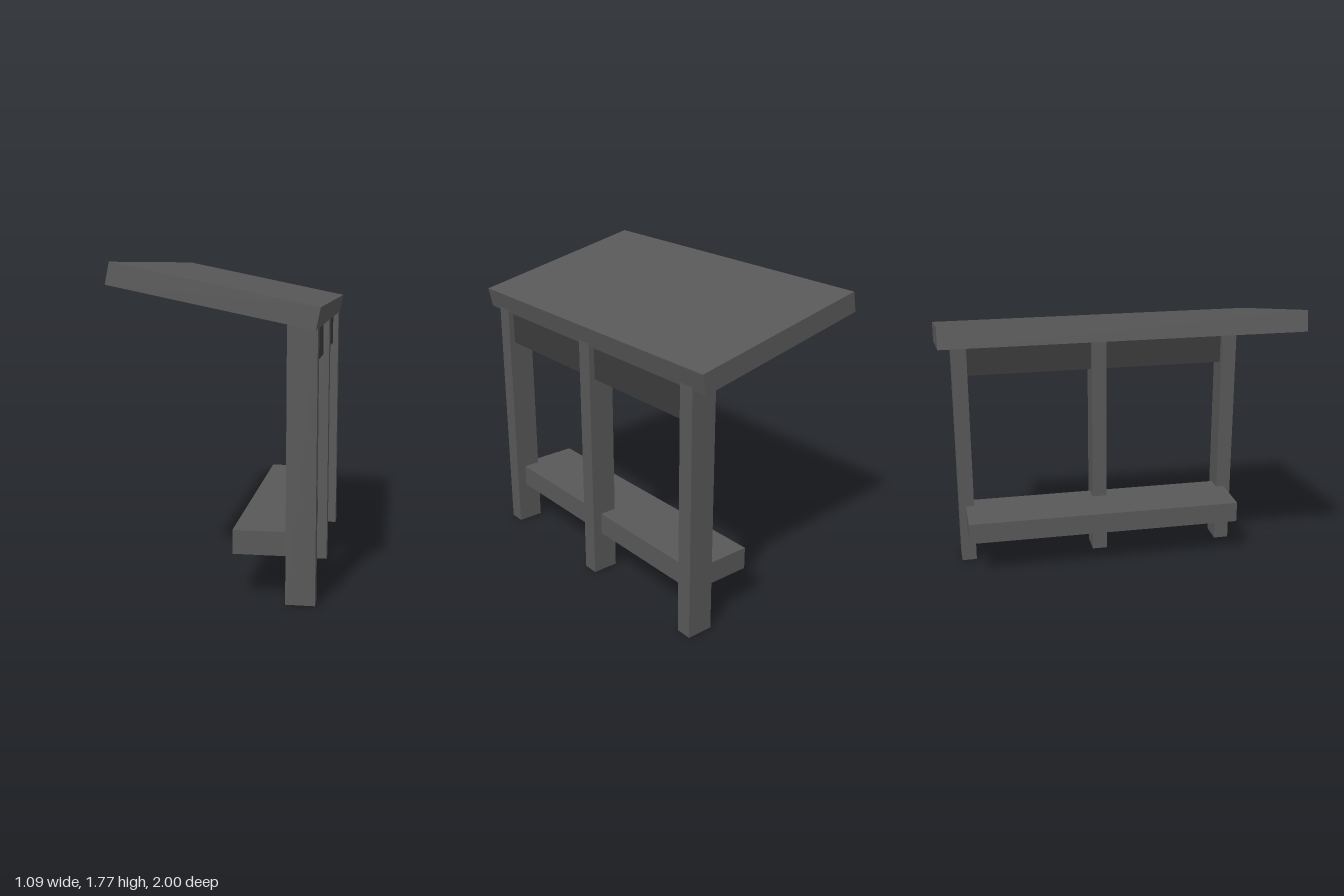
import * as THREE from 'three';

export function createModel() {
  const model = new THREE.Group();
  const paintedGrey = new THREE.MeshStandardMaterial({ color: 0x585858 });
  paintedGrey.name = 'paintedGrey';
  const darkGrey = new THREE.MeshStandardMaterial({ color: 0x3b3b3b });
  darkGrey.name = 'darkGrey';

  // Box given by its lower and upper corners
  function addBox(name, [x0, y0, z0], [x1, y1, z1], material) {
    const mesh = new THREE.Mesh(new THREE.BoxGeometry(x1 - x0, y1 - y0, z1 - z0), material);
    mesh.position.set((x0 + x1) / 2, (y0 + y1) / 2, (z0 + z1) / 2);
    mesh.name = name;
    model.add(mesh);
    return mesh;
  }

  // Three posts along the right-hand edge
  const posts = { backPost: -0.857, middlePost: 0.012, frontPost: 0.857 };
  for (const [name, z] of Object.entries(posts)) {
    addBox(name, [0.366, 0, z - 0.047], [0.522, 1.46, z + 0.047], paintedGrey);
  }

  // Bench seat let into the posts
  addBox('benchSeat', [0.08, 0.25, -0.863], [0.466, 0.38, 0.863], paintedGrey);

  // Beam joining the posts under the roof
  addBox('roofBeam', [0.4, 1.24, -0.857], [0.488, 1.46, 0.857], darkGrey);

  // Sloping roof slab, rising away from the posts
  const roof = addBox('roof', [-0.544, 1.549, -1], [0.544, 1.666, 1], paintedGrey);
  roof.position.x = -0.002;
  roof.rotation.z = -0.204;

  return model;
}
